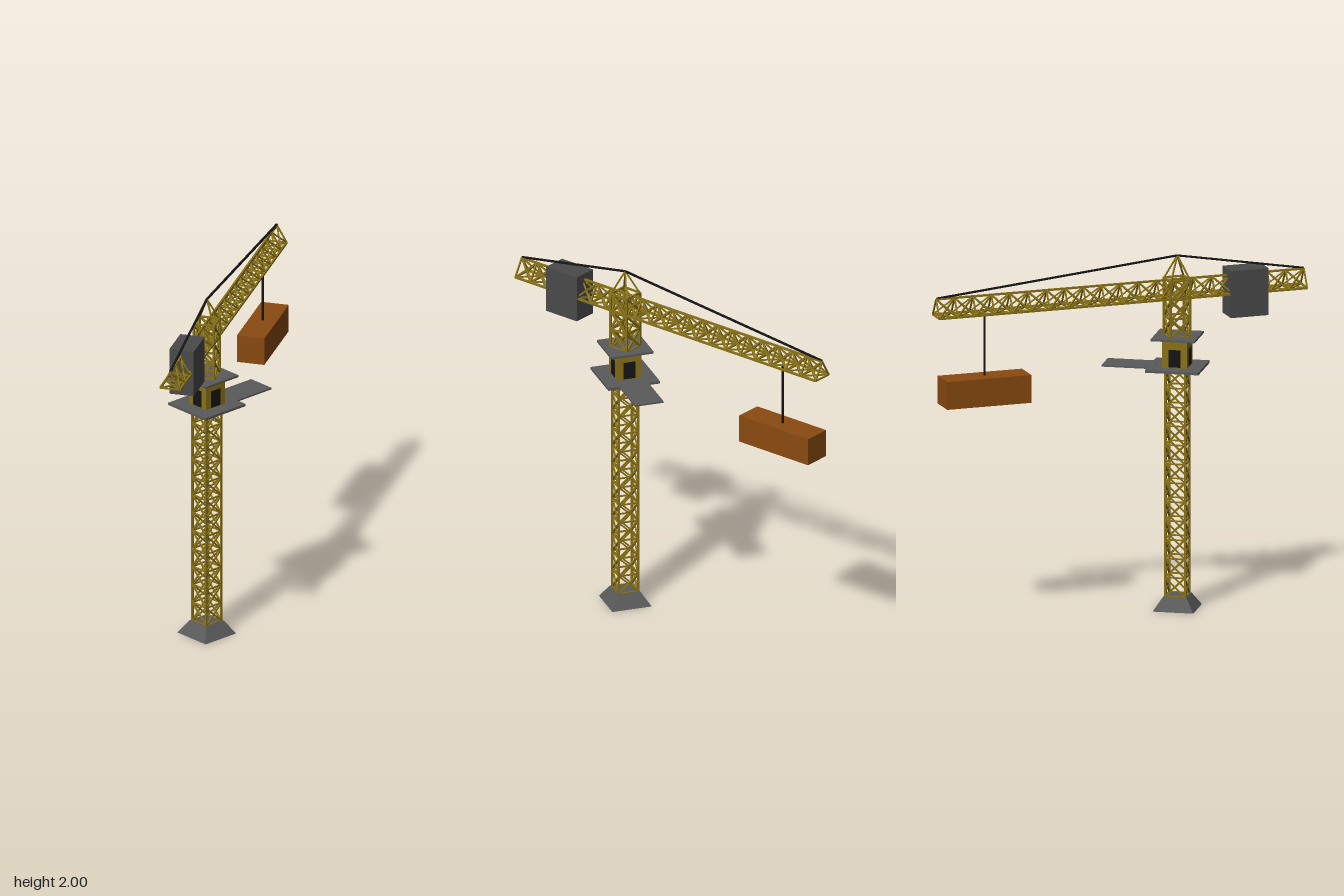
import * as THREE from 'three';
import { mergeGeometries } from 'three/addons/utils/BufferGeometryUtils.js';

const MAST_X = 0.172, MAST_Z = 0.286, SLEW = 0.549;
const HALF = 0.056, STEP = 0.107;

const material = (color) => new THREE.MeshStandardMaterial({ color, flatShading: true });
const yellow = material(0x8a7318);
const plate = material(0x5a5a5a);
const dark = material(0x4a4a4a);
const black = material(0x151515);
const orange = material(0x8a4a10);

const V = (x, y, z) => new THREE.Vector3(x, y, z);

// Square bar running between two points
function bar(a, b, t) {
  const g = new THREE.BoxGeometry(t, t, a.distanceTo(b));
  const m = new THREE.Matrix4().lookAt(b, a, Math.abs(b.y - a.y) > 0.999 * a.distanceTo(b) ? V(0, 0, 1) : V(0, 1, 0));
  m.setPosition(a.clone().add(b).multiplyScalar(0.5));
  return g.applyMatrix4(m);
}

// Lattice: chords through matching corners of successive rings, rings and X bracing
function lattice(rings, chord, brace) {
  const parts = [], n = rings[0].length, last = rings[rings.length - 1];
  for (let i = 0; i < n; i++) {
    const j = (i + 1) % n;
    parts.push(bar(rings[0][i], last[i], chord));
    rings.forEach((ring, k) => {
      parts.push(bar(ring[i], ring[j], brace));
      const next = rings[k + 1];
      if (next) parts.push(bar(ring[i], next[j], brace), bar(ring[j], next[i], brace));
    });
  }
  return mergeGeometries(parts);
}

function squareRings(y0, y1, count, h) {
  return Array.from({ length: count + 1 }, (_, k) => {
    const y = y0 + (y1 - y0) * k / count;
    return [V(-h, y, -h), V(h, y, -h), V(h, y, h), V(-h, y, h)];
  });
}

function add(parent, name, geometry, mat, x = 0, y = 0, z = 0) {
  const mesh = new THREE.Mesh(geometry, mat);
  mesh.name = name;
  mesh.position.set(x, y, z);
  parent.add(mesh);
  return mesh;
}

export function createModel() {
  const model = new THREE.Group();
  model.name = 'towerCrane';
  const tower = new THREE.Group();
  tower.name = 'tower';
  tower.position.set(MAST_X, 0, MAST_Z);
  model.add(tower);

  // Foundation and lattice mast
  const foot = new THREE.CylinderGeometry(0.066 * Math.SQRT2, 0.114 * Math.SQRT2, 0.075, 4).rotateY(Math.PI / 4);
  add(tower, 'foundation', foot, plate, 0, 0.0375, 0);
  add(tower, 'mast', lattice(squareRings(0.075, 1.36, 12, HALF), 0.011, 0.008), yellow);

  // Platforms and walkway
  add(tower, 'lowerPlatform', new THREE.BoxGeometry(0.3, 0.014, 0.3), plate, 0, 1.364, 0);
  add(tower, 'walkway', new THREE.BoxGeometry(0.166, 0.009, 0.29), plate, 0, 1.367, -0.262);
  add(tower, 'upperPlatform', new THREE.BoxGeometry(0.246, 0.012, 0.246), plate, 0, 1.536, 0);

  // Cab with a dark opening on every side
  add(tower, 'cab', new THREE.BoxGeometry(0.14, 0.16, 0.14), yellow, 0, 1.45, 0);
  for (let i = 0; i < 4; i++) {
    const a = i * Math.PI / 2;
    const door = add(tower, 'cabOpening', new THREE.BoxGeometry(0.068, 0.098, 0.004), black,
      Math.sin(a) * 0.07, 1.424, Math.cos(a) * 0.07);
    door.rotation.y = a;
  }

  // Slewing upper works; the jib points along local -z
  const top = new THREE.Group();
  top.name = 'upperWorks';
  top.rotation.y = SLEW;
  tower.add(top);
  add(top, 'towerHead', lattice(squareRings(1.54, 1.86, 3, HALF + 0.001), 0.011, 0.01), yellow);

  const apex = V(0, 1.992, 0);
  const legs = squareRings(1.86, 1.86, 1, HALF)[0].map((p) => bar(p, apex, 0.008));
  add(top, 'apexFrame', mergeGeometries(legs), yellow);

  // Triangular jib and counter jib in one truss
  const jibRings = Array.from({ length: 21 }, (_, k) => {
    const z = -1.403 + k * STEP;
    return [V(-HALF, 1.76, z), V(HALF, 1.76, z), V(0, 1.858, z)];
  });
  add(top, 'jib', lattice(jibRings, 0.011, 0.008), yellow);

  // Tie cables
  for (const z of [-1.4, 0.735]) add(top, 'tieCable', bar(apex, V(0, 1.862, z), 0.01), black);

  // Counterweight, hoist cable and load
  add(top, 'counterweight', new THREE.BoxGeometry(0.139, 0.265, 0.22), dark, 0, 1.762, 0.398);
  add(top, 'hoistCable', new THREE.BoxGeometry(0.01, 0.36, 0.01), black, 0, 1.58, -1.121);
  add(top, 'load', new THREE.BoxGeometry(0.157, 0.157, 0.49), orange, 0, 1.327, -1.121);

  return model;
}
